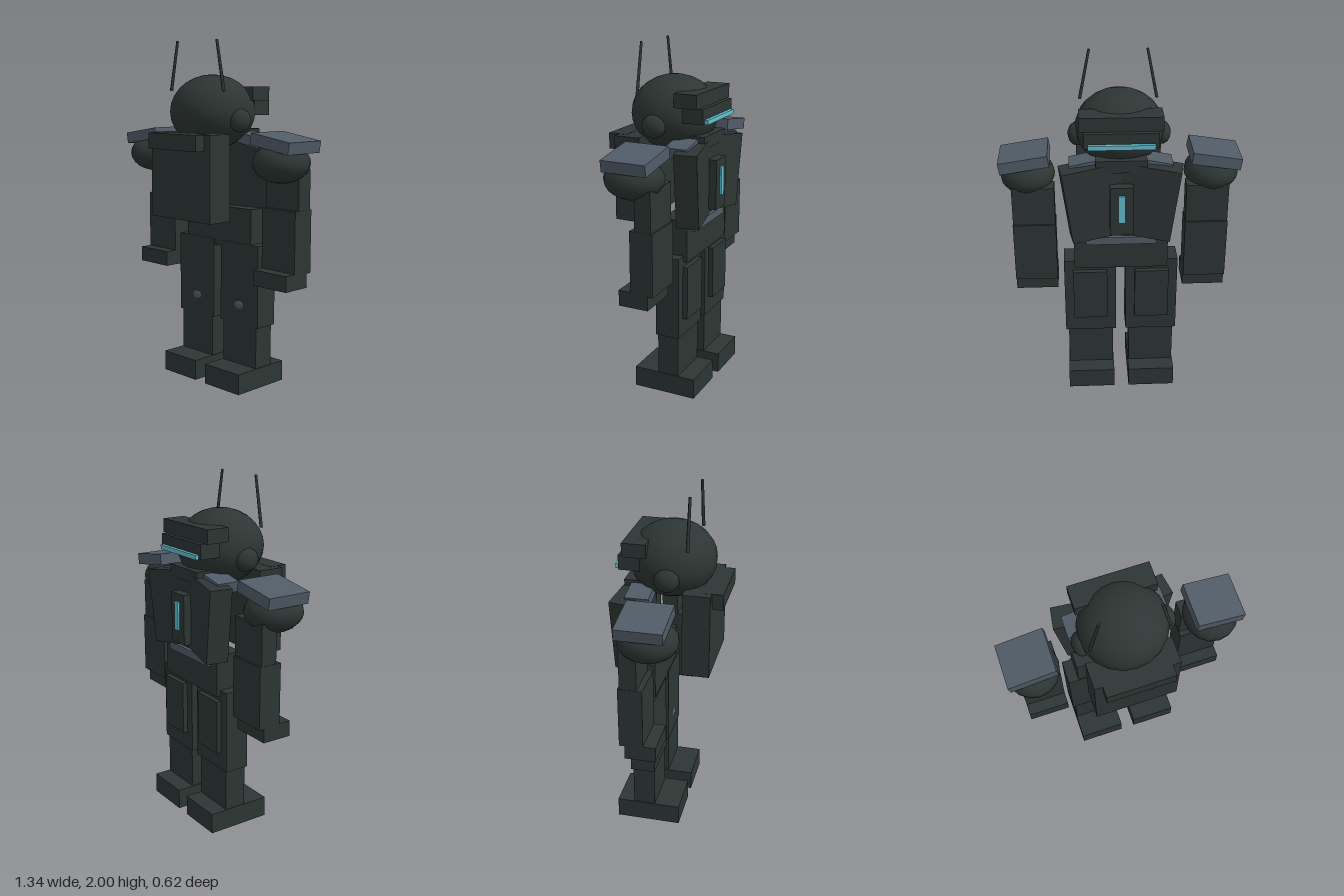
import * as THREE from 'three';

export function createModel() {
  const model = new THREE.Group();
  model.name = 'robot';

  const mat = (name, color) => {
    const m = new THREE.MeshStandardMaterial({ color });
    m.name = name;
    return m;
  };
  const dark = mat('dark green grey', 0x2d3634);
  const grey = mat('slate grey', 0x515c68);
  const cyan = mat('cyan light', 0x62c0d0);

  const add = (name, geometry, material) => {
    const mesh = new THREE.Mesh(geometry, material);
    mesh.name = name;
    model.add(mesh);
    return mesh;
  };
  // Box given by its extents on each axis
  const box = (name, material, [x0, x1], [y0, y1], [z0, z1]) => {
    const b = add(name, new THREE.BoxGeometry(x1 - x0, y1 - y0, z1 - z0), material);
    b.position.set((x0 + x1) / 2, (y0 + y1) / 2, (z0 + z1) / 2);
    return b;
  };
  // Box given by centre and size, so it can be tilted
  const tilted = (name, material, size, pos, rot) => {
    const b = add(name, new THREE.BoxGeometry(...size), material);
    b.position.set(...pos);
    b.rotation.set(...rot);
    return b;
  };
  const ellipsoid = (name, material, pos, radii, w = 16, h = 12) => {
    const e = add(name, new THREE.SphereGeometry(1, w, h), material);
    e.position.set(...pos);
    e.scale.set(...radii);
    return e;
  };

  // Head, brow and glowing visor
  ellipsoid('head', dark, [0, 1.6, -0.01], [0.247, 0.212, 0.247], 20, 14);
  box('brow', dark, [-0.225, 0.225], [1.664, 1.743], [-0.245, -0.11]);
  box('visor', dark, [-0.2, 0.2], [1.58, 1.664], [-0.272, -0.15]);
  box('visorLight', cyan, [-0.18, 0.18], [1.58, 1.605], [-0.293, -0.27]);
  box('neckGuard', dark, [-0.14, 0.14], [1.43, 1.5], [-0.257, -0.12]);

  // Chest centre, waist and pack
  box('chestPanel', dark, [-0.065, 0.065], [1.07, 1.36], [-0.298, -0.19]);
  box('chestLight', cyan, [-0.018, 0.018], [1.15, 1.314], [-0.309, -0.297]);
  box('beltStrip', grey, [-0.2, 0.2], [0.975, 1.02], [-0.235, -0.19]);
  box('pelvis', dark, [-0.266, 0.266], [0.81, 1.05], [-0.214, -0.055]);
  box('pack', dark, [-0.243, 0.243], [0.995, 1.483], [0.092, 0.247]);
  box('packFlap', dark, [-0.195, 0.195], [1.393, 1.484], [0.2, 0.31]);

  for (const s of [1, -1]) {
    const side = s > 0 ? 'left' : 'right';
    const span = (a, b) => (s > 0 ? [a, b] : [-b, -a]);

    // Ear and leaning antenna
    ellipsoid(side + 'Ear', dark, [s * 0.235, 1.555, 0.005], [0.052, 0.066, 0.07]);
    const antenna = add(side + 'Antenna', new THREE.CylinderGeometry(0.008, 0.01, 0.287, 6), dark);
    antenna.position.set(s * 0.188, 1.859, 0.115);
    antenna.rotation.z = s * 0.195;

    // Slanted chest plate and collar
    tilted(side + 'ChestPlate', dark, [0.33, 0.43, 0.13],
      [s * 0.145, 1.247, -0.2], [0, s * 0.16, s * -0.13]);
    tilted(side + 'Collar', grey, [0.18, 0.06, 0.134],
      [s * 0.19, 1.445, -0.15], [0, 0, s * -0.2]);

    // Shoulder, pad and arm
    ellipsoid(side + 'Shoulder', dark, [s * 0.518, 1.335, -0.025], [0.154, 0.111, 0.166]);
    tilted(side + 'ShoulderPad', grey, [0.275, 0.066, 0.26],
      [s * 0.53, 1.444, -0.04], [0, 0, s * -0.155]);
    box(side + 'UpperArm', dark, span(0.368, 0.606), [1.075, 1.3], [-0.165, -0.07]);
    box(side + 'Forearm', dark, span(0.366, 0.608), [0.72, 1.075], [-0.175, -0.04]);
    box(side + 'Hand', dark, span(0.366, 0.608), [0.64, 0.73], [-0.145, 0.03]);

    // Leg, knee and foot
    box(side + 'Thigh', dark, span(0.028, 0.328), [0.365, 0.845], [-0.193, -0.05]);
    box(side + 'ThighPanel', dark, span(0.08, 0.276), [0.47, 0.784], [-0.222, -0.19]);
    ellipsoid(side + 'Knee', grey, [s * 0.178, 0.478, -0.122], [0.085, 0.055, 0.082], 14, 10);
    box(side + 'Shin', dark, span(0.048, 0.312), [0.12, 0.365], [-0.183, -0.055]);
    box(side + 'Foot', dark, span(0.043, 0.316), [0, 0.12], [-0.283, 0.093]);
  }
  return model;
}
